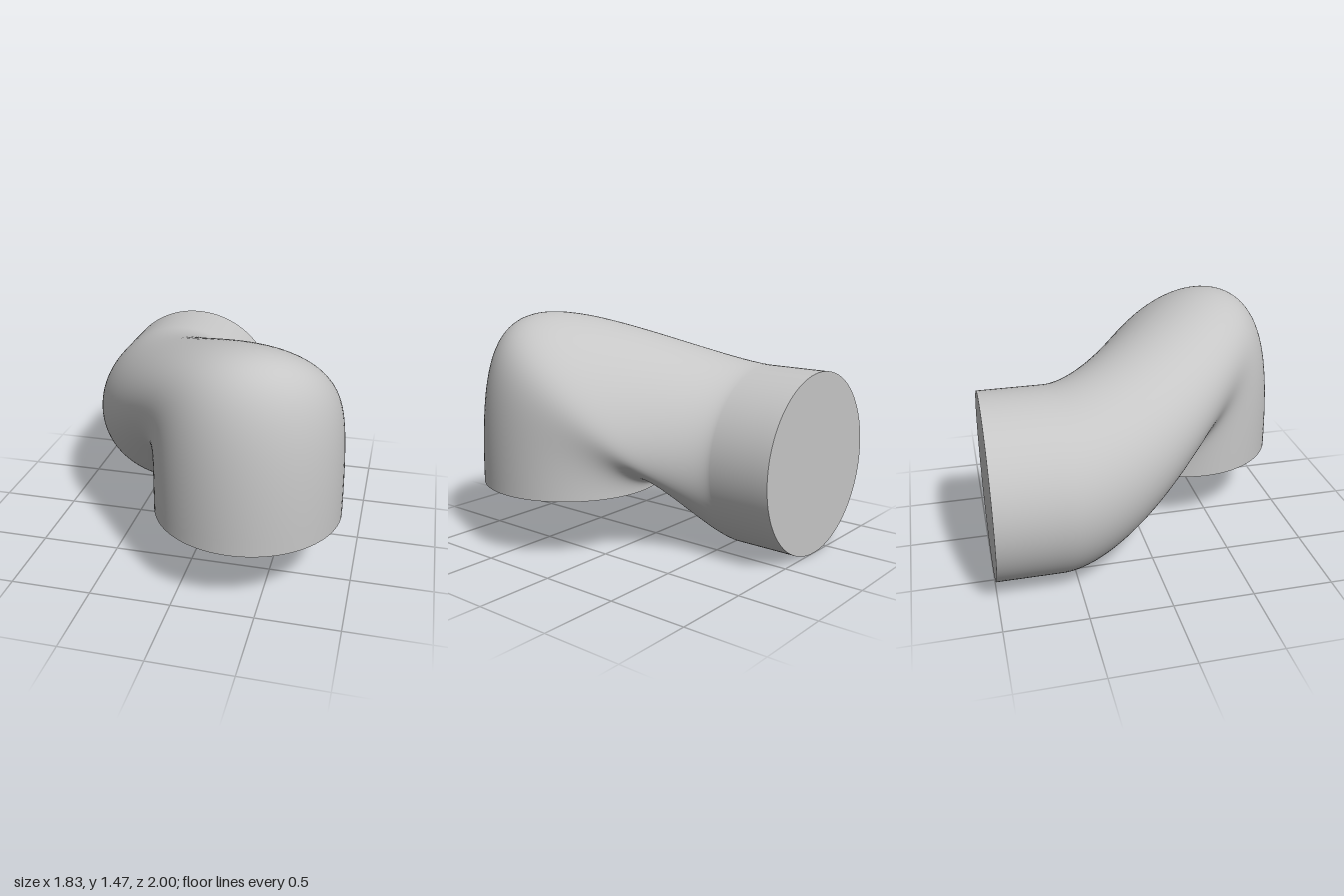
import * as THREE from 'three';

const R = 0.575;          // pipe radius
const SIDES = 96;
const STEPS = 80;
const BEND_Z = -0.6;      // where the straight rear pipe starts to bend
const CORNER = 2;         // weight of the corner handle, tightens the last bend

// Rational cubic Bezier, pulled towards its third point
function cornerCurve(p0, p1, p2, p3, t) {
  const s = 1 - t;
  const w = [s * s * s, 3 * s * s * t, 3 * s * t * t * CORNER, t * t * t];
  return new THREE.Vector3()
    .addScaledVector(p0, w[0])
    .addScaledVector(p1, w[1])
    .addScaledVector(p2, w[2])
    .addScaledVector(p3, w[3])
    .divideScalar(w[0] + w[1] + w[2] + w[3]);
}

// Point on the bend: the upright rear circle flows into the level lower circle
function bendPoint(phi, t) {
  const c = Math.cos(phi), s = Math.sin(phi), d = R * Math.SQRT1_2;
  const rear = new THREE.Vector3(-0.34 + R * c, 0.577 + R * s, BEND_Z);
  const lower = new THREE.Vector3(0.34 + d * (c + s), 0.4, 0.425 + d * (s - c));
  // handles are long on the outside of the bend, short on the inside
  const a = 0.52 + 0.125 * s - 0.3 * c;
  const b = 0.78 + 0.65 * s - 0.2 * c;
  const rearHandle = rear.clone().setZ(BEND_Z + a);
  const lowerHandle = lower.clone().setY(0.4 + b);
  const p = cornerCurve(rear, rearHandle, lowerHandle, lower, t);
  // slight sideways sway before the final drop
  const sway = 1.2 * t ** 3 * (1 - t) ** 2;
  p.x += sway;
  p.z -= sway;
  return p;
}

// Smooth closed loft through all rings
function pipeGeometry() {
  const positions = [], index = [];
  const straight = [-1, -0.9, -0.8, -0.7, -0.64];
  const rings = straight.length + STEPS + 1;
  for (let i = 0; i < rings; i++) {
    for (let j = 0; j < SIDES; j++) {
      const phi = (j / SIDES) * Math.PI * 2;
      const t = Math.max(0, (i - straight.length) / STEPS);
      const p = bendPoint(phi, t);
      if (i < straight.length) p.z = straight[i];
      positions.push(p.x, p.y, p.z);
    }
  }
  for (let i = 0; i < rings - 1; i++) {
    for (let j = 0; j < SIDES; j++) {
      const k = (j + 1) % SIDES;
      const a = i * SIDES + j, b = i * SIDES + k;
      const c = a + SIDES, d = b + SIDES;
      index.push(a, b, d, a, d, c);
    }
  }
  const geometry = new THREE.BufferGeometry();
  geometry.setAttribute('position', new THREE.Float32BufferAttribute(positions, 3));
  geometry.setIndex(index);
  geometry.computeVertexNormals();
  return geometry;
}

export function createModel() {
  const group = new THREE.Group();
  group.name = 'pipeElbow';
  const grey = new THREE.MeshStandardMaterial({ color: 0xc6c6c6, side: THREE.DoubleSide });
  grey.name = 'grey';

  const add = (name, geometry) => {
    const mesh = new THREE.Mesh(geometry, grey);
    mesh.name = name;
    group.add(mesh);
    return mesh;
  };

  // Bent pipe
  add('bentPipe', pipeGeometry());

  // Flat end faces
  const rearCap = add('rearCap', new THREE.CircleGeometry(R, SIDES));
  rearCap.rotation.y = Math.PI;
  rearCap.position.set(-0.34, 0.577, -1);

  const lowerCap = add('lowerCap', new THREE.CircleGeometry(R, SIDES));
  lowerCap.rotation.x = Math.PI / 2;
  lowerCap.position.set(0.34, 0.4, 0.425);

  return group;
}
